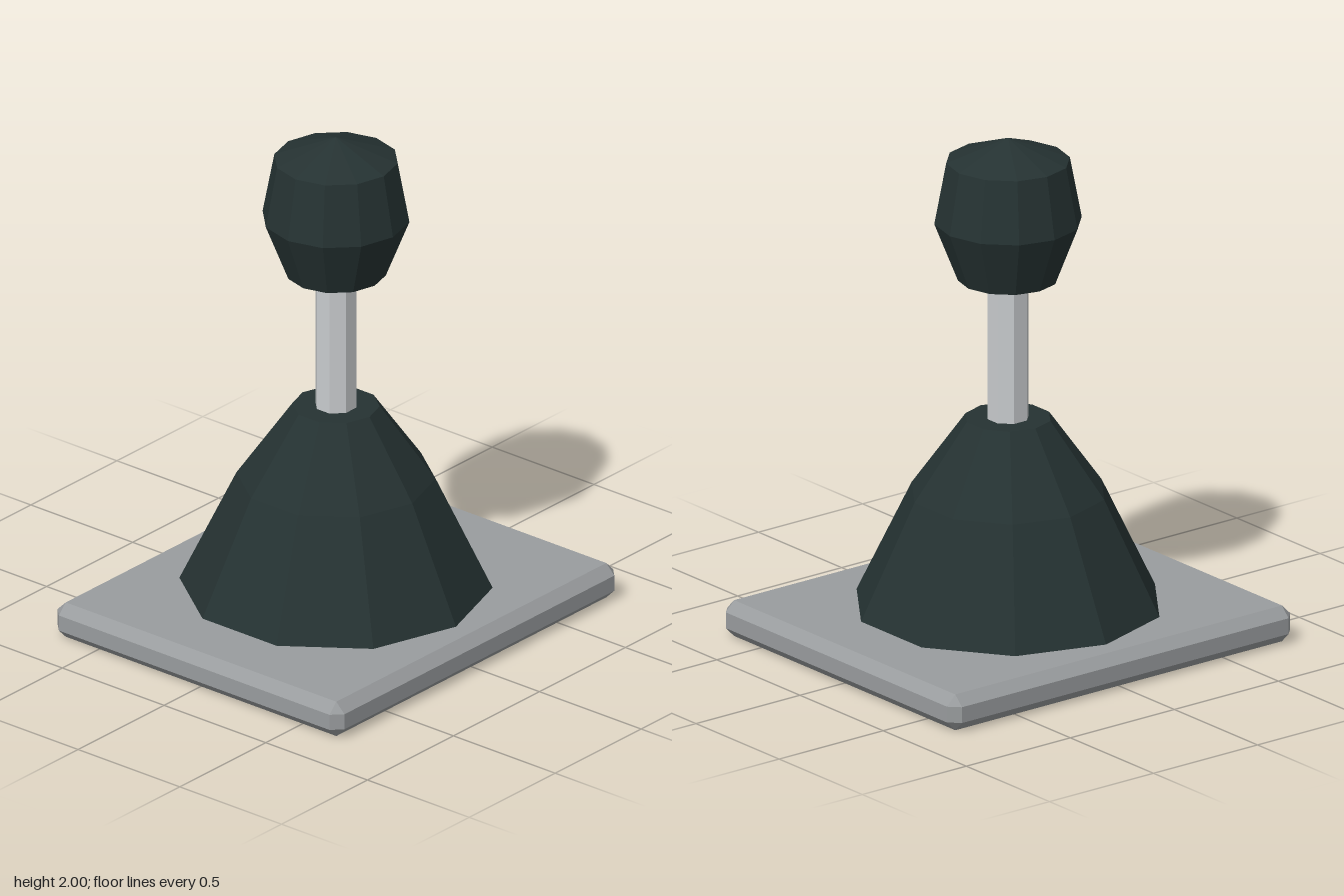
import * as THREE from 'three';
import { ConvexGeometry } from 'three/addons/geometries/ConvexGeometry.js';

const material = (name, color) => {
  const m = new THREE.MeshStandardMaterial({ color });
  m.name = name;
  return m;
};

// Faceted solid of revolution from a bottom-to-top profile of [radius, y]
function facetedLathe(profile, sides, phiStart) {
  const points = profile.map(([r, y]) => new THREE.Vector2(r, y));
  const geometry = new THREE.LatheGeometry(points, sides, phiStart).toNonIndexed();
  geometry.computeVertexNormals();
  return geometry;
}

// Box with every edge and corner chamfered, standing on y = 0
function chamferedBox(hx, hy, hz, c) {
  const points = [];
  for (const sx of [-1, 1]) for (const sy of [-1, 1]) for (const sz of [-1, 1]) {
    points.push(
      new THREE.Vector3(sx * hx, sy * (hy - c) + hy, sz * (hz - c)),
      new THREE.Vector3(sx * (hx - c), sy * hy + hy, sz * (hz - c)),
      new THREE.Vector3(sx * (hx - c), sy * (hy - c) + hy, sz * hz));
  }
  return new ConvexGeometry(points);
}

export function createModel() {
  const group = new THREE.Group();
  group.name = 'gearLever';
  const plateGrey = material('plate grey', 0x999c9e);
  const steel = material('light steel', 0xc8cbcd);
  const rubber = material('dark green rubber', 0x253232);

  const add = (name, geometry, mat) => {
    const mesh = new THREE.Mesh(geometry, mat);
    mesh.name = name;
    group.add(mesh);
  };

  // Base plate
  add('basePlate', chamferedBox(0.705, 0.0715, 0.825, 0.04), plateGrey);

  // Ten-sided boot, corners on the x axis
  add('boot', facetedLathe(
    [[0.59, 0.142], [0.375, 0.59], [0.165, 0.885], [0, 0.885]], 10, Math.PI / 2), rubber);

  // Octagonal shaft with a flat facing the front
  add('shaft', facetedLathe(
    [[0.081, 0.87], [0.081, 1.43]], 8, Math.PI / 8), steel);

  // Twelve-sided knob with a shallow pointed cap
  add('knob', facetedLathe(
    [[0, 1.41], [0.08, 1.41], [0.19, 1.44], [0.28, 1.67], [0.235, 1.91], [0, 2]], 12, 0), rubber);

  return group;
}
